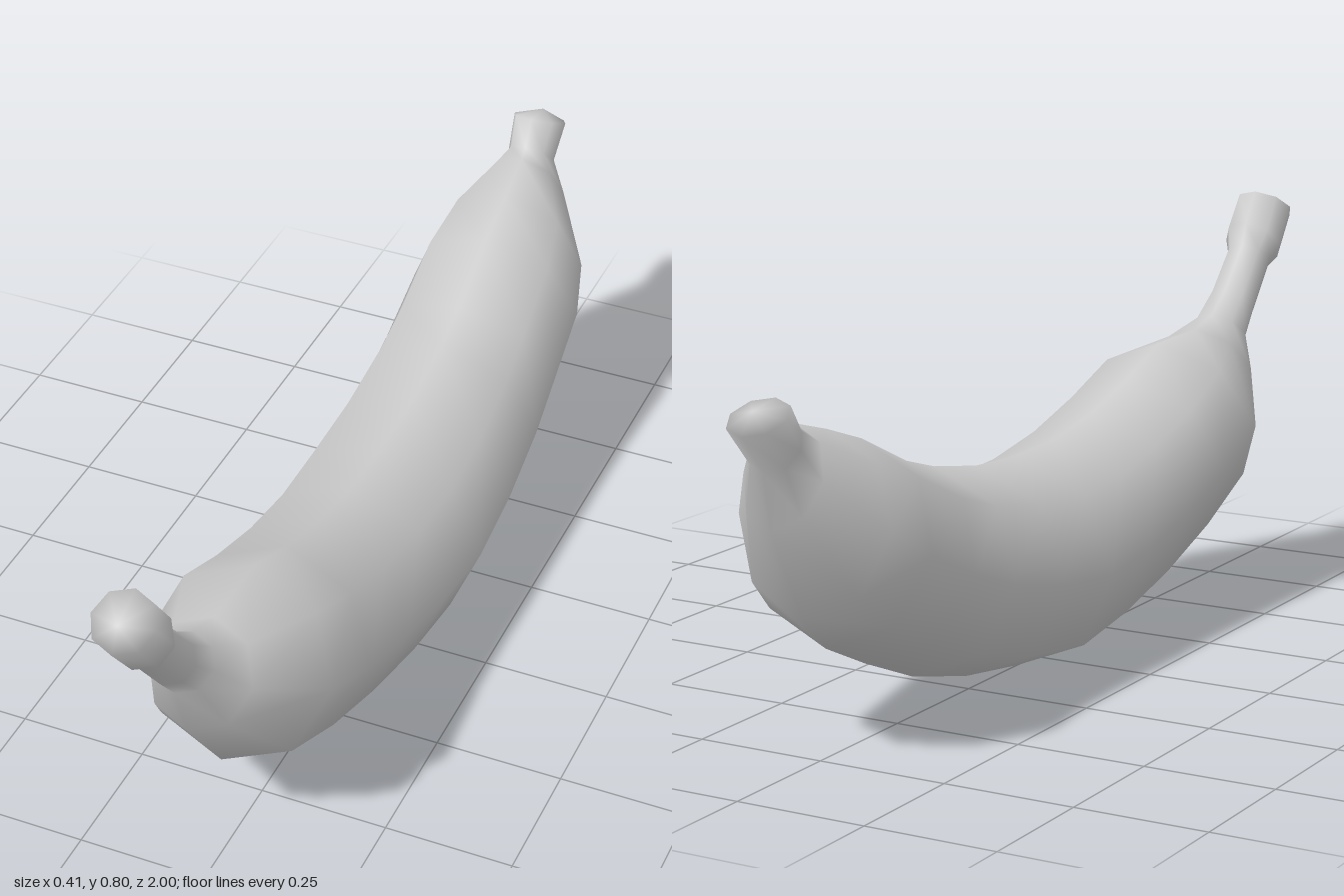
import * as THREE from 'three';

const SIDES = 8;

// Cross-sections from stem to blossom end:
// [top z, top y, bottom z, bottom y, half width, centre x]
const RINGS = [
  // stem knob
  [0.905, 0.797, 1.0, 0.728, 0.06, -0.02],
  [0.862, 0.736, 0.935, 0.645, 0.063, -0.02],
  // stem
  [0.85, 0.69, 0.915, 0.632, 0.048, -0.018],
  [0.78, 0.607, 0.845, 0.54, 0.05, -0.015],
  [0.72, 0.56, 0.80, 0.485, 0.057, -0.014],
  // shoulder
  [0.65, 0.54, 0.77, 0.375, 0.1, -0.01],
  // body
  [0.49, 0.535, 0.65, 0.205, 0.183, -0.007],
  [0.36, 0.482, 0.48, 0.13, 0.19, -0.004],
  [0.22, 0.44, 0.30, 0.07, 0.194, -0.002],
  [0.08, 0.415, 0.11, 0.025, 0.2, 0],
  [-0.07, 0.41, -0.07, 0.0, 0.206, 0],
  [-0.22, 0.42, -0.26, 0.027, 0.2, 0],
  [-0.37, 0.448, -0.45, 0.075, 0.192, -0.002],
  [-0.47, 0.478, -0.61, 0.14, 0.185, -0.005],
  [-0.62, 0.547, -0.74, 0.20, 0.18, -0.008],
  [-0.73, 0.584, -0.815, 0.273, 0.155, -0.01],
  // blossom end
  [-0.83, 0.612, -0.91, 0.444, 0.08, -0.015],
  [-0.86, 0.622, -0.93, 0.545, 0.05, -0.018],
  [-0.895, 0.668, -0.997, 0.62, 0.056, -0.02],
];
const STEM_TIP = [-0.02, 0.772, 0.975];
const BLOSSOM_TIP = [-0.02, 0.657, -0.963];

// Smooth skin through the rings, closed by a point at each end
function skin(rings, startTip, endTip) {
  const positions = [];
  const index = [];
  for (const [tz, ty, bz, by, w, x] of rings) {
    for (let j = 0; j < SIDES; j++) {
      const a = (j / SIDES) * Math.PI * 2;
      const t = Math.cos(a) / 2;
      positions.push(
        x + w * Math.sin(a),
        (ty + by) / 2 + (ty - by) * t,
        (tz + bz) / 2 + (tz - bz) * t
      );
    }
  }
  const start = rings.length * SIDES;
  const last = start - SIDES;
  positions.push(...startTip, ...endTip);

  for (let j = 0; j < SIDES; j++) {
    const k = (j + 1) % SIDES;
    for (let i = 0; i < last; i += SIDES) {
      index.push(i + j, i + k, i + SIDES + j);
      index.push(i + k, i + SIDES + k, i + SIDES + j);
    }
    index.push(start, k, j);
    index.push(start + 1, last + j, last + k);
  }

  const geometry = new THREE.BufferGeometry();
  geometry.setAttribute('position', new THREE.Float32BufferAttribute(positions, 3));
  geometry.setIndex(index);
  geometry.computeVertexNormals();
  return geometry;
}

export function createModel() {
  const group = new THREE.Group();
  group.name = 'banana';
  const peel = new THREE.Mesh(
    skin(RINGS, STEM_TIP, BLOSSOM_TIP),
    new THREE.MeshStandardMaterial({ color: 0xcccccc })
  );
  peel.name = 'peel';
  group.add(peel);
  return group;
}
